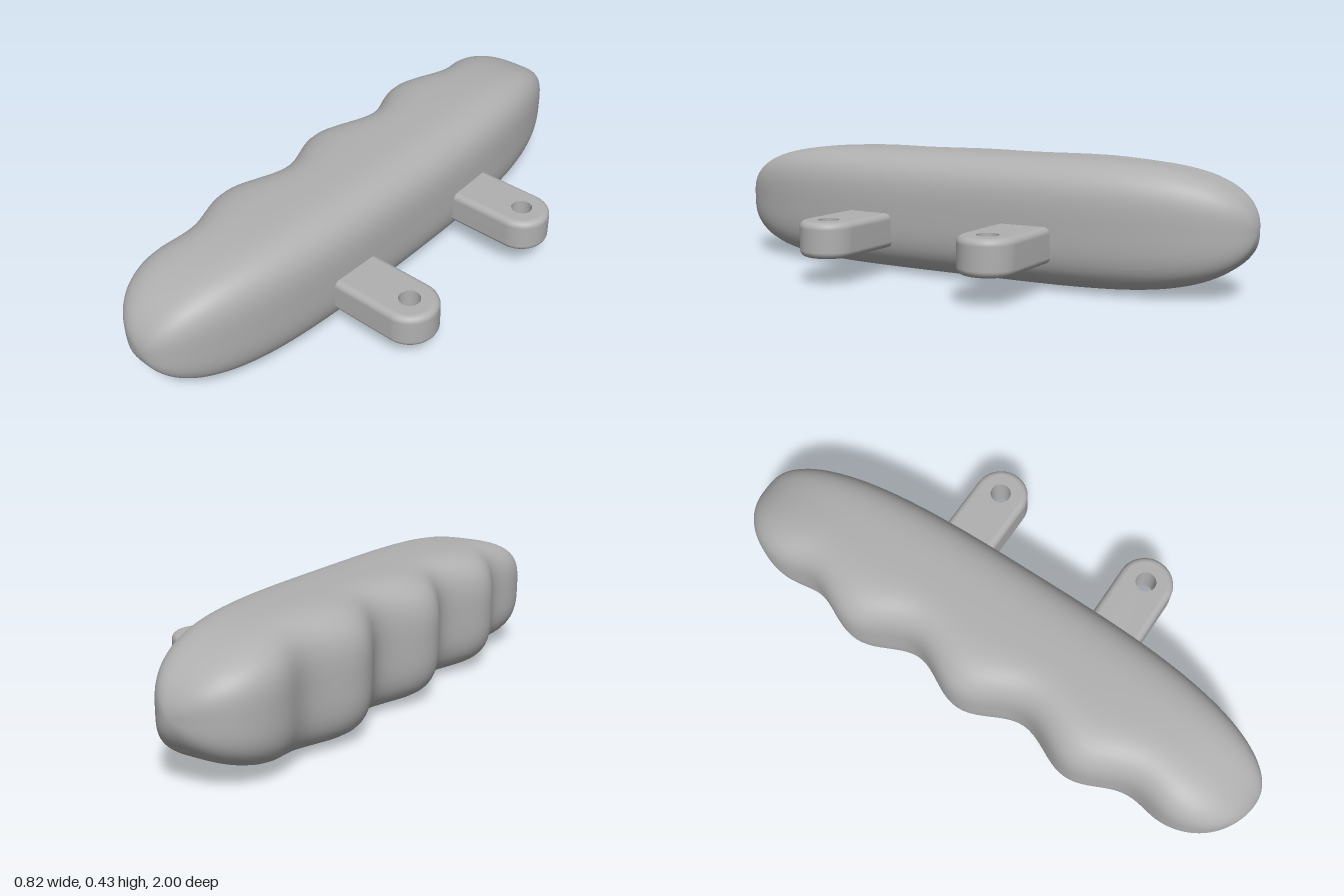
import * as THREE from 'three';

// Skin a grid of points; fn(row, col) returns [x, y, z]
function skin(rows, cols, fn, closed) {
  const pos = [], index = [];
  const last = closed ? cols : cols - 1;
  for (let i = 0; i < rows; i++) for (let j = 0; j < cols; j++) pos.push(...fn(i, j));
  for (let i = 0; i < rows - 1; i++) {
    for (let j = 0; j < last; j++) {
      const a = i * cols + j, b = i * cols + ((j + 1) % cols);
      index.push(a, a + cols, b, b, a + cols, b + cols);
    }
  }
  const g = new THREE.BufferGeometry();
  g.setAttribute('position', new THREE.Float32BufferAttribute(pos, 3));
  g.setIndex(index);
  g.computeVertexNormals();
  return g;
}

// Finger side of the grip: [distance from middle, reach], blended smoothly
const FINGERS = [[0, 0.27], [0.22, 0.195], [0.435, 0.265], [0.65, 0.2], [0.775, 0.217]];
function fingerReach(z) {
  const d = Math.abs(z);
  if (d >= 0.775) return 0.217 * Math.sqrt(Math.max(0, 1 - ((d - 0.775) / 0.225) ** 2));
  const k = FINGERS.findIndex((p) => p[0] > d);
  const [z0, r0] = FINGERS[k - 1], [z1, r1] = FINGERS[k];
  return r0 + (r1 - r0) * (1 - Math.cos(Math.PI * (d - z0) / (z1 - z0))) / 2;
}

// Rounded-square sections lofted along z
function gripGeometry() {
  const rows = 141, cols = 72, n = 3.4;
  return skin(rows, cols, (i, j) => {
    const z = Math.cos(Math.PI * i / (rows - 1));
    const a = 2 * Math.PI * j / cols, c = Math.cos(a), s = Math.sin(a);
    const r = (Math.abs(c) ** n + Math.abs(s) ** n) ** (-1 / n);
    const d = Math.min(1, Math.abs(z));
    const palm = 0.23 * Math.sqrt(1 - d ** 3);
    const half = 0.215 * Math.sqrt(1 - d ** 5.2);
    return [-0.14 + r * c * (c < 0 ? fingerReach(z) : palm), 0.215 + r * s * half, z];
  }, true);
}

const LUG = { x0: 0, cx: 0.31, r: 0.097, y0: 0.095, y1: 0.215, fillet: 0.022, hole: 0.036 };

// Side wall of a lug with filleted upper and lower edges
function lugWall() {
  const { x0, cx, r, y0, y1, fillet } = LUG, steps = 6, arc = 24;
  return skin(2 * steps + 2, arc + 3, (i, j) => {
    const upper = i > steps;
    const phi = (upper ? i - steps - 1 : i - steps) / steps * Math.PI / 2;
    const rad = r - fillet + fillet * Math.cos(phi);
    const y = (upper ? y1 - fillet : y0 + fillet) + fillet * Math.sin(phi);
    if (j === 0) return [x0, y, -rad];
    if (j === arc + 2) return [x0, y, rad];
    const a = Math.PI * ((j - 1) / arc - 0.5);
    return [cx + rad * Math.cos(a), y, rad * Math.sin(a)];
  }, false);
}

// Flat face of a lug with its pin hole
function lugFace() {
  const { x0, cx, r, fillet, hole } = LUG, rad = r - fillet;
  const shape = new THREE.Shape();
  shape.moveTo(x0, -rad);
  shape.lineTo(cx, -rad);
  shape.absarc(cx, 0, rad, -Math.PI / 2, Math.PI / 2, false);
  shape.lineTo(x0, rad);
  shape.closePath();
  const h = new THREE.Path();
  h.absarc(cx, 0, hole, 0, Math.PI * 2, true);
  shape.holes.push(h);
  return new THREE.ShapeGeometry(shape, 24);
}

// Inside of the pin hole, facing inwards
function lugBore() {
  const { cx, y0, y1, hole } = LUG, cols = 32;
  return skin(2, cols, (i, j) => {
    const a = -2 * Math.PI * j / cols;
    return [cx + hole * Math.cos(a), i ? y1 : y0, hole * Math.sin(a)];
  }, true);
}

export function createModel() {
  const grey = new THREE.MeshStandardMaterial({ color: 0xb0b0b0 });
  grey.name = 'grey';
  const model = new THREE.Group();
  model.name = 'gripHandle';

  const add = (parent, name, geometry) => {
    const mesh = new THREE.Mesh(geometry, grey);
    mesh.name = name;
    parent.add(mesh);
  };

  add(model, 'grip', gripGeometry());

  // Two mounting lugs on the palm side
  for (const side of [1, -1]) {
    const lug = new THREE.Group();
    lug.name = side > 0 ? 'frontLug' : 'backLug';
    lug.position.z = side * 0.305;
    add(lug, 'lugWall', lugWall());
    add(lug, 'lugTop', lugFace().rotateX(-Math.PI / 2).translate(0, LUG.y1, 0));
    add(lug, 'lugBottom', lugFace().rotateX(Math.PI / 2).translate(0, LUG.y0, 0));
    add(lug, 'pinHole', lugBore());
    model.add(lug);
  }
  return model;
}
